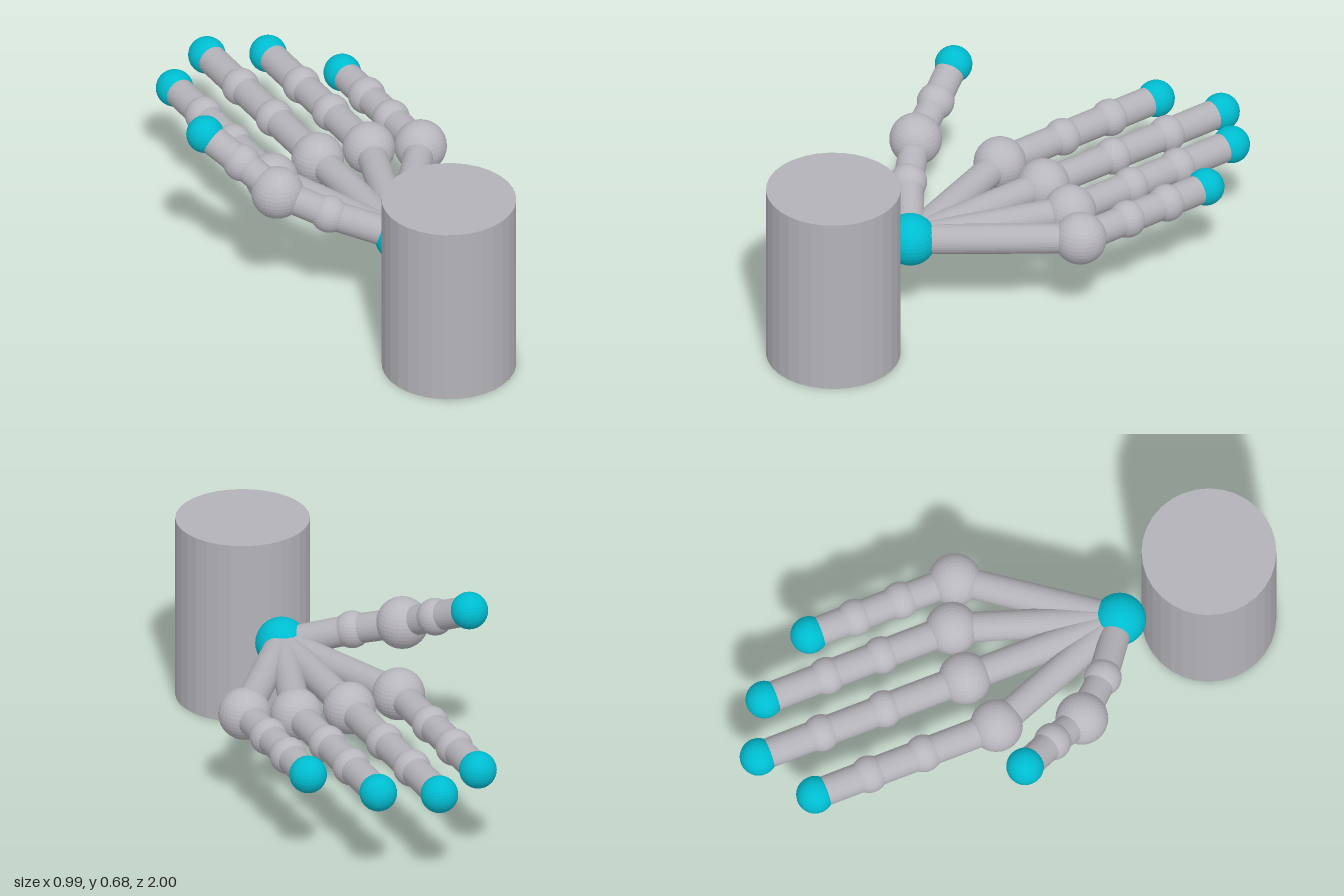
import * as THREE from 'three';

const flat = (name, color) => {
  const m = new THREE.MeshStandardMaterial({ color, flatShading: true });
  m.name = name;
  return m;
};

export function createModel() {
  const grey = flat('bone grey', 0xb2b2b8);
  const jointGrey = flat('joint grey', 0xb9b7be);
  const cyan = flat('cyan', 0x00bcd0);
  const hand = new THREE.Group();
  hand.name = 'skeletalHand';

  const BONE = 0.053, KNUCKLE = 0.0925, JOINT = 0.066;
  const up = new THREE.Vector3(0, 1, 0);
  const level = 0.34;

  const ball = (name, parent, p, r, material) => {
    const mesh = new THREE.Mesh(new THREE.SphereGeometry(r, 32, 18), material);
    mesh.name = name;
    mesh.position.copy(p);
    parent.add(mesh);
  };

  const bone = (name, parent, a, b) => {
    const dir = b.clone().sub(a);
    const mesh = new THREE.Mesh(new THREE.CylinderGeometry(BONE, BONE, dir.length(), 32), grey);
    mesh.name = name;
    mesh.position.copy(a).lerp(b, 0.5);
    mesh.quaternion.setFromUnitVectors(up, dir.normalize());
    parent.add(mesh);
  };

  // Forearm drum standing behind the wrist
  const forearm = new THREE.Mesh(new THREE.CylinderGeometry(0.236, 0.236, 0.68, 32), grey);
  forearm.name = 'forearm';
  forearm.position.set(0.045, level, 0.764);
  hand.add(forearm);

  const wrist = new THREE.Vector3(0.045, level, 0.427);
  ball('wrist', hand, wrist, KNUCKLE, cyan);

  // Each chain runs from the wrist to a cyan tip: joints as [x, y, z]; big = index of the knuckle
  const straight = (x, zs) => zs.map((z) => [x, level, z]);
  const digits = [
    { name: 'thumb', big: 1, path: [[-0.16, 0.417, 0.28], [-0.293, 0.475, 0.147], [-0.358, 0.544, 0.01], [-0.43, 0.611, -0.123]] },
    { name: 'indexFinger', big: 0, path: straight(-0.16, [-0.122, -0.397, -0.603, -0.807]) },
    { name: 'middleFinger', big: 0, path: straight(0.045, [-0.158, -0.463, -0.7, -0.937]) },
    { name: 'ringFinger', big: 0, path: straight(0.235, [-0.13, -0.397, -0.603, -0.838]) },
    { name: 'littleFinger', big: 0, path: straight(0.399, [-0.052, -0.258, -0.43, -0.602]) },
  ];

  for (const { name, big, path } of digits) {
    const digit = new THREE.Group();
    digit.name = name;
    let previous = wrist;
    path.forEach((xyz, i) => {
      const p = new THREE.Vector3(...xyz);
      const tip = i === path.length - 1;
      bone(`${name}Bone${i + 1}`, digit, previous, p);
      ball(tip ? `${name}Tip` : `${name}Joint${i + 1}`, digit, p, i === big ? KNUCKLE : JOINT, tip ? cyan : jointGrey);
      previous = p;
    });
    hand.add(digit);
  }

  return hand;
}
